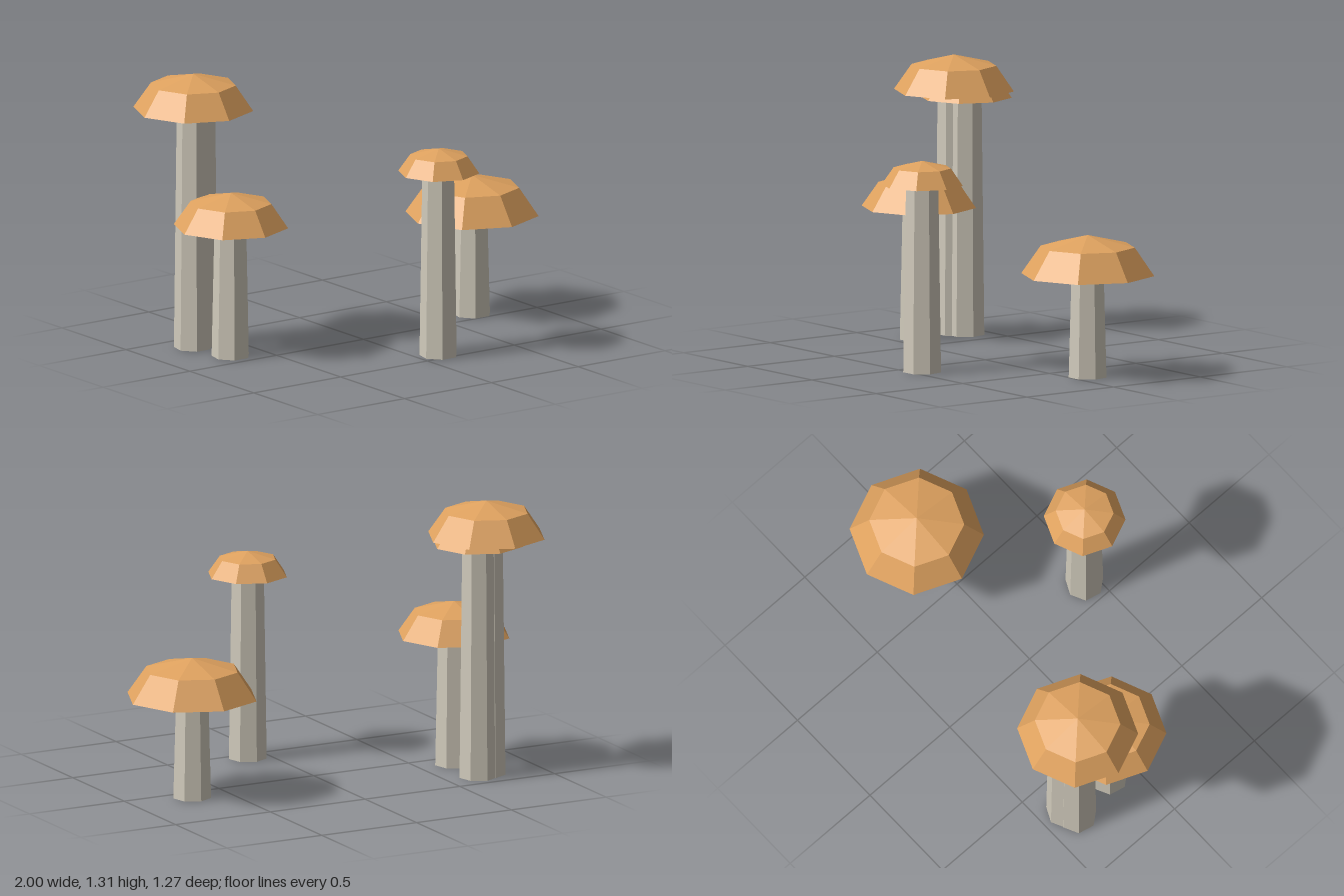
import * as THREE from 'three';

const capMaterial = new THREE.MeshStandardMaterial({ color: 0xdfa25f, flatShading: true, side: THREE.DoubleSide });
capMaterial.name = 'tan cap';
const stemMaterial = new THREE.MeshStandardMaterial({ color: 0xd0cabb, flatShading: true });
stemMaterial.name = 'pale stem';

// One mushroom: a tapered seven-sided stem under a hollow eight-sided dome
function makeMushroom(name, x, z, height, radius) {
  const mushroom = new THREE.Group();
  mushroom.name = name;

  const stem = new THREE.Mesh(
    new THREE.CylinderGeometry(0.077, 0.09, height, 7, 1, false, Math.PI),
    stemMaterial
  );
  stem.name = 'stem';
  stem.position.y = height / 2;

  // Flattened hemisphere, open underneath
  const dome = new THREE.SphereGeometry(radius, 8, 2, 0, Math.PI * 2, 0, Math.PI / 2);
  dome.scale(1, 0.597, 1);
  const cap = new THREE.Mesh(dome, capMaterial);
  cap.name = 'cap';
  cap.position.y = height;

  mushroom.add(stem, cap);
  mushroom.position.set(x, 0, z);
  return mushroom;
}

export function createModel() {
  const model = new THREE.Group();
  model.name = 'mushroomCluster';
  // name, x, z, rim height, cap radius
  const mushrooms = [
    ['tallMushroom', -0.72, -0.353, 1.141, 0.281],
    ['tallTwinMushroom', -0.663, -0.378, 1.115, 0.216],
    ['mediumMushroom', -0.676, -0.118, 0.621, 0.268],
    ['slimMushroom', 0.108, 0.443, 0.877, 0.19],
    ['shortMushroom', 0.687, -0.083, 0.48, 0.312],
  ];
  for (const m of mushrooms) model.add(makeMushroom(...m));
  return model;
}
